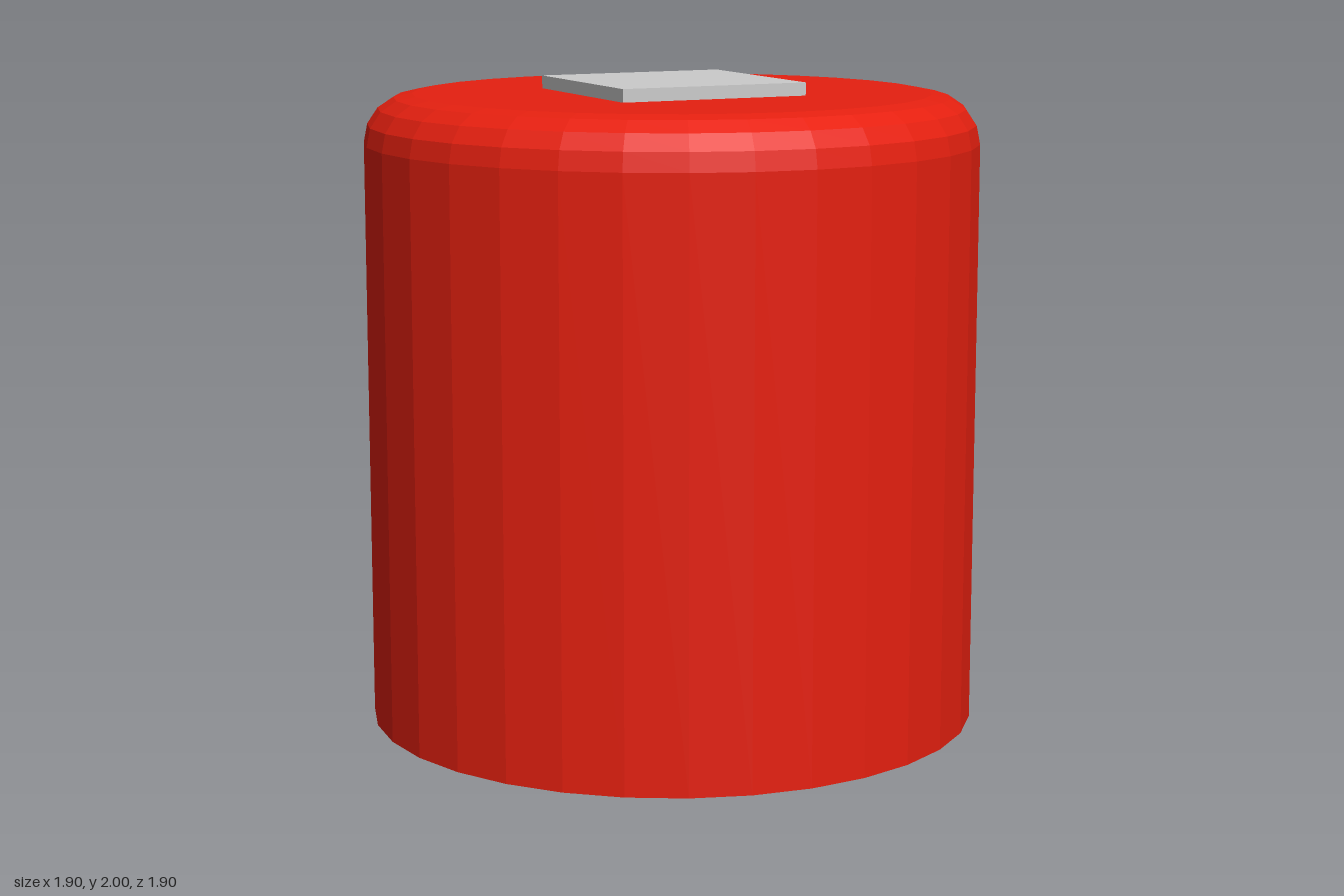
import * as THREE from 'three';

export function createModel() {
  const model = new THREE.Group();
  const radius = 0.95, top = 1.96, bevel = 0.15, steps = 4;

  // Closed profile: base, straight wall, rounded shoulder, flat top
  const profile = [new THREE.Vector2(0, 0), new THREE.Vector2(radius, 0)];
  for (let i = 0; i <= steps; i++) {
    const a = (i / steps) * Math.PI / 2;
    profile.push(new THREE.Vector2(
      radius - bevel + bevel * Math.cos(a),
      top - bevel + bevel * Math.sin(a)
    ));
  }
  profile.push(new THREE.Vector2(0, top));

  const body = new THREE.Mesh(
    new THREE.LatheGeometry(profile, 32),
    new THREE.MeshStandardMaterial({ color: 0xe62010, flatShading: true })
  );
  body.name = 'body';
  model.add(body);

  // Square plate resting on the top
  const plate = new THREE.Mesh(
    new THREE.BoxGeometry(0.61, 2 - top, 0.61),
    new THREE.MeshStandardMaterial({ color: 0xcccccc, flatShading: true })
  );
  plate.name = 'topPlate';
  plate.position.y = (2 + top) / 2;
  model.add(plate);

  return model;
}
